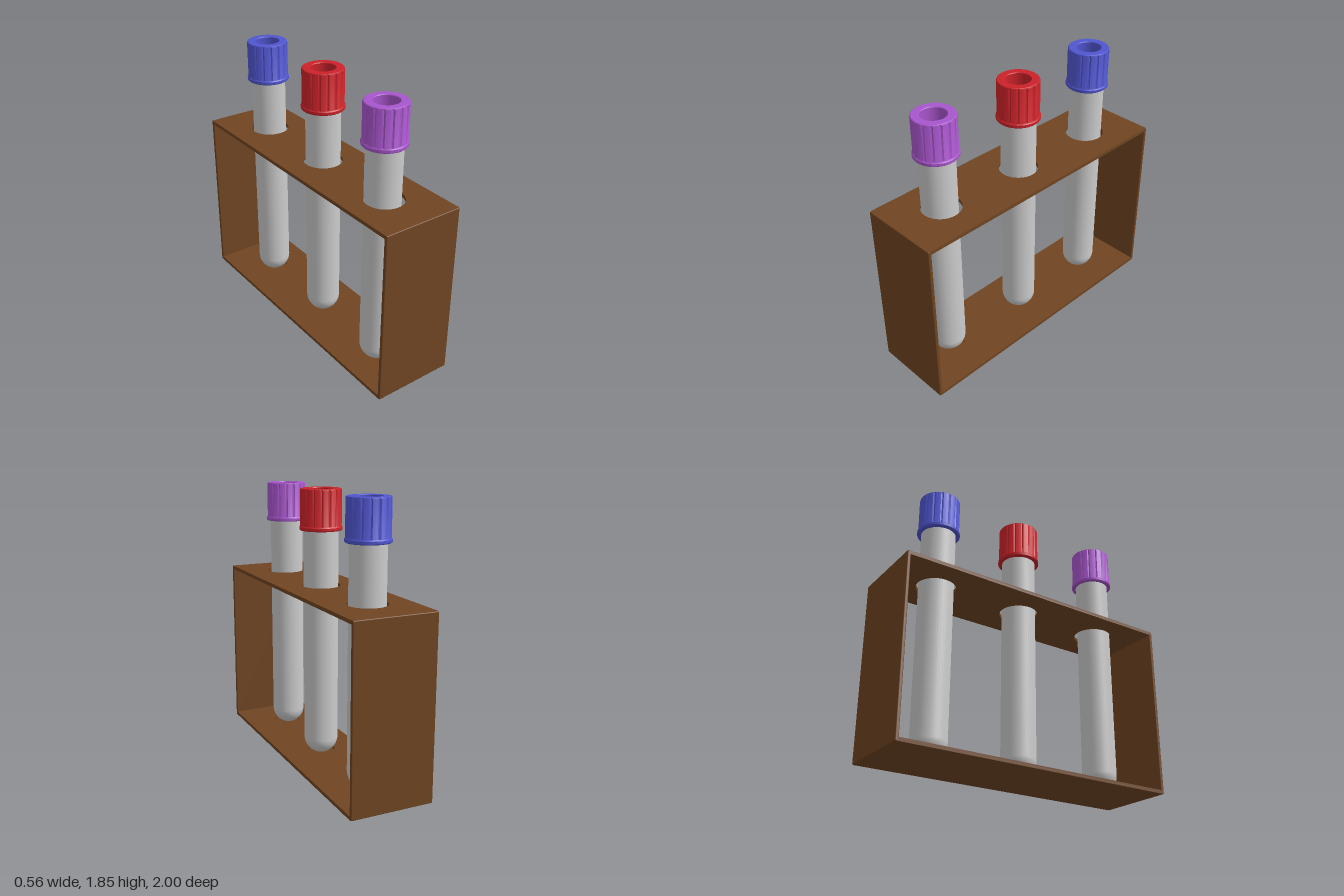
import * as THREE from 'three';
import { toCreasedNormals } from 'three/addons/utils/BufferGeometryUtils.js';
import { RoundedBoxGeometry } from 'three/addons/geometries/RoundedBoxGeometry.js';

const WIDTH = 0.56, LENGTH = 2, HEIGHT = 1.203, THICK = 0.024;

const SLOTS = [
  { name: 'front', x: -0.028, holeX: -0.014, z: 0.655, color: 0xa855cc },
  { name: 'middle', x: 0, holeX: 0, z: 0.005, color: 0xcc2229 },
  { name: 'back', x: 0, holeX: 0, z: -0.648, color: 0x5055cf },
];

function addMesh(parent, name, geometry, material, x = 0, y = 0, z = 0) {
  const mesh = new THREE.Mesh(geometry, material);
  mesh.name = name;
  mesh.position.set(x, y, z);
  parent.add(mesh);
  return mesh;
}

const lathe = (points, segments) =>
  new THREE.LatheGeometry(points.map(([r, y]) => new THREE.Vector2(r, y)), segments);

// Horizontal board with one round hole per slot
function drilledBoard(thickness, holeRadius) {
  const w = WIDTH / 2, l = LENGTH / 2 - 0.01;
  const shape = new THREE.Shape();
  shape.moveTo(-w, -l).lineTo(w, -l).lineTo(w, l).lineTo(-w, l).closePath();
  for (const s of SLOTS) {
    const hole = new THREE.Path();
    hole.absarc(s.holeX, -s.z, holeRadius, 0, Math.PI * 2, true);
    shape.holes.push(hole);
  }
  const geometry = new THREE.ExtrudeGeometry(shape, { depth: thickness, bevelEnabled: false, curveSegments: 24 });
  return geometry.rotateX(-Math.PI / 2);
}

// Round-bottomed tube
function tubeGeometry() {
  const r = 0.116, bottom = 0.011, points = [];
  for (let i = 0; i <= 12; i++) {
    const a = (i / 12) * Math.PI / 2;
    points.push([r * Math.sin(a), bottom + r * (1 - Math.cos(a))]);
  }
  points.push([r, 1.62]);
  return lathe(points, 40);
}

// Hollow-topped stopper: collar below, grooved grip above
function capGeometry() {
  const segments = 96, grooveEvery = 6;
  const points = [
    [0.1, 1.574], [0.138, 1.574], [0.143, 1.579], [0.143, 1.596], [0.138, 1.602],
    [0.137, 1.604], [0.137, 1.836], [0.134, 1.843], [0.129, 1.846],
    [0.084, 1.846], [0.081, 1.842], [0.081, 1.64], [0, 1.64],
  ];
  const geometry = lathe(points, segments);
  const pos = geometry.attributes.position;
  // Pull the grip wall inwards at regular steps to cut the grooves
  for (let i = 0; i < pos.count; i++) {
    const ring = i % points.length, step = Math.floor(i / points.length);
    if (step % grooveEvery === 0 && (ring === 5 || ring === 6)) {
      pos.setX(i, pos.getX(i) * 0.965);
      pos.setZ(i, pos.getZ(i) * 0.965);
    }
  }
  return toCreasedNormals(geometry, 0.5);
}

export function createModel() {
  const model = new THREE.Group();
  model.name = 'testTubeRack';
  const wood = new THREE.MeshStandardMaterial({ color: 0x704522 });
  const glass = new THREE.MeshStandardMaterial({ color: 0xcccccc });

  // Rack: end walls, drilled top, base with shallow seats
  const rack = new THREE.Group();
  rack.name = 'rack';
  model.add(rack);
  for (const side of [1, -1]) {
    addMesh(rack, side > 0 ? 'frontWall' : 'backWall',
      new RoundedBoxGeometry(WIDTH, HEIGHT, THICK, 2, 0.006), wood,
      0, HEIGHT / 2, side * (LENGTH - THICK) / 2);
  }
  addMesh(rack, 'topBoard', drilledBoard(THICK, 0.131), wood, 0, HEIGHT - THICK, 0);
  addMesh(rack, 'seatBoard', drilledBoard(THICK - 0.01, 0.095), wood, 0, 0.01, 0);
  addMesh(rack, 'baseBoard', new THREE.BoxGeometry(WIDTH, 0.01, LENGTH - 0.02), wood, 0, 0.005, 0);

  // Capped tubes
  const tube = tubeGeometry(), cap = capGeometry();
  for (const s of SLOTS) {
    const group = new THREE.Group();
    group.name = s.name + 'Tube';
    group.position.set(s.x, 0, s.z);
    addMesh(group, 'glassTube', tube, glass);
    addMesh(group, 'cap', cap, new THREE.MeshStandardMaterial({ color: s.color }));
    model.add(group);
  }
  return model;
}
